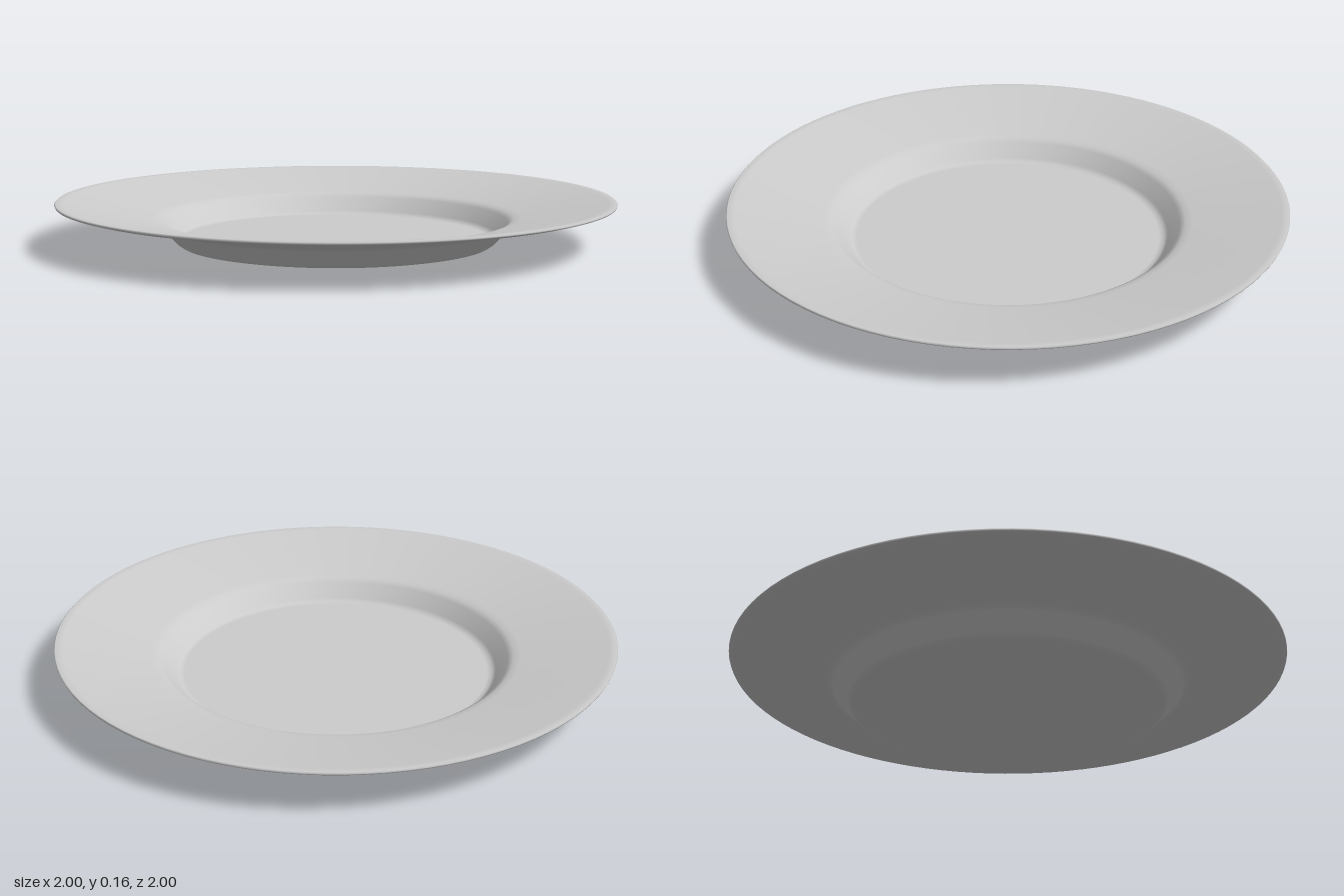
import * as THREE from 'three';

export function createModel() {
  const model = new THREE.Group();
  model.name = 'plate';

  const glaze = new THREE.MeshStandardMaterial({ color: 0xcccccc });
  glaze.name = 'light grey glaze';

  // Closed profile: underside from the centre out, round the rim, back over the top
  const profile = [
    [0, 0], [0.54, 0], [0.56, 0.004], [0.575, 0.014],
    [0.625, 0.066], [0.64, 0.077], [0.66, 0.083],
    [0.97, 0.144], [0.998, 0.152], [1, 0.157], [0.996, 0.161], [0.97, 0.16],
    [0.66, 0.099], [0.635, 0.094], [0.615, 0.082],
    [0.575, 0.034], [0.562, 0.024], [0.545, 0.021], [0, 0.021],
  ].map(([r, y]) => new THREE.Vector2(r, y));

  const dish = new THREE.Mesh(new THREE.LatheGeometry(profile, 96), glaze);
  dish.name = 'dish';
  model.add(dish);
  return model;
}
